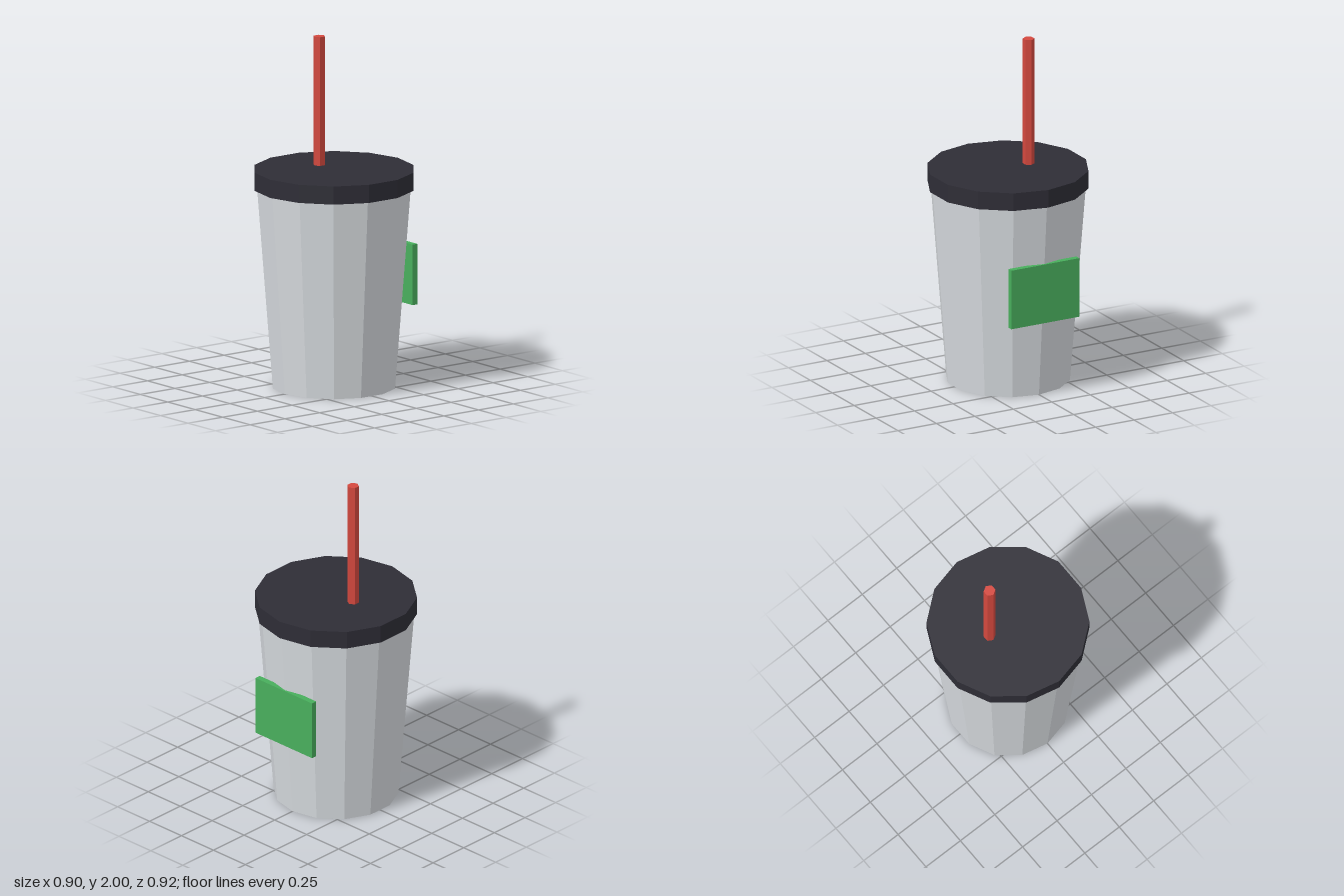
import * as THREE from 'three';

const material = (name, color) => {
  const m = new THREE.MeshStandardMaterial({ color });
  m.name = name;
  return m;
};

// Flat-sided upright cylinder spanning y0 to y1
function prism(name, rTop, rBottom, y0, y1, sides, mat) {
  const geo = new THREE.CylinderGeometry(rTop, rBottom, y1 - y0, sides).toNonIndexed();
  geo.computeVertexNormals();
  const mesh = new THREE.Mesh(geo, mat);
  mesh.name = name;
  mesh.position.y = (y0 + y1) / 2;
  return mesh;
}

export function createModel() {
  const group = new THREE.Group();
  group.name = 'drinkCup';

  const cupGrey = material('cup grey', 0xd6dade);
  const lidBlack = material('lid black', 0x2e2d36);
  const strawRed = material('straw red', 0xd4483e);
  const labelGreen = material('label green', 0x48ae5c);

  // Tapered cup and overhanging lid
  group.add(prism('cup', 0.445, 0.354, 0, 1.16, 14, cupGrey));
  group.add(prism('lid', 0.46, 0.46, 1.15, 1.255, 14, lidBlack));

  // Off-centre straw
  const straw = prism('straw', 0.034, 0.034, 1.2, 2, 6, strawRed);
  straw.position.x = -0.134;
  group.add(straw);

  // Flat label on the back
  const label = new THREE.Mesh(new THREE.BoxGeometry(0.442, 0.35, 0.035), labelGreen);
  label.name = 'label';
  label.position.set(0, 0.625, -0.409);
  group.add(label);

  return group;
}
